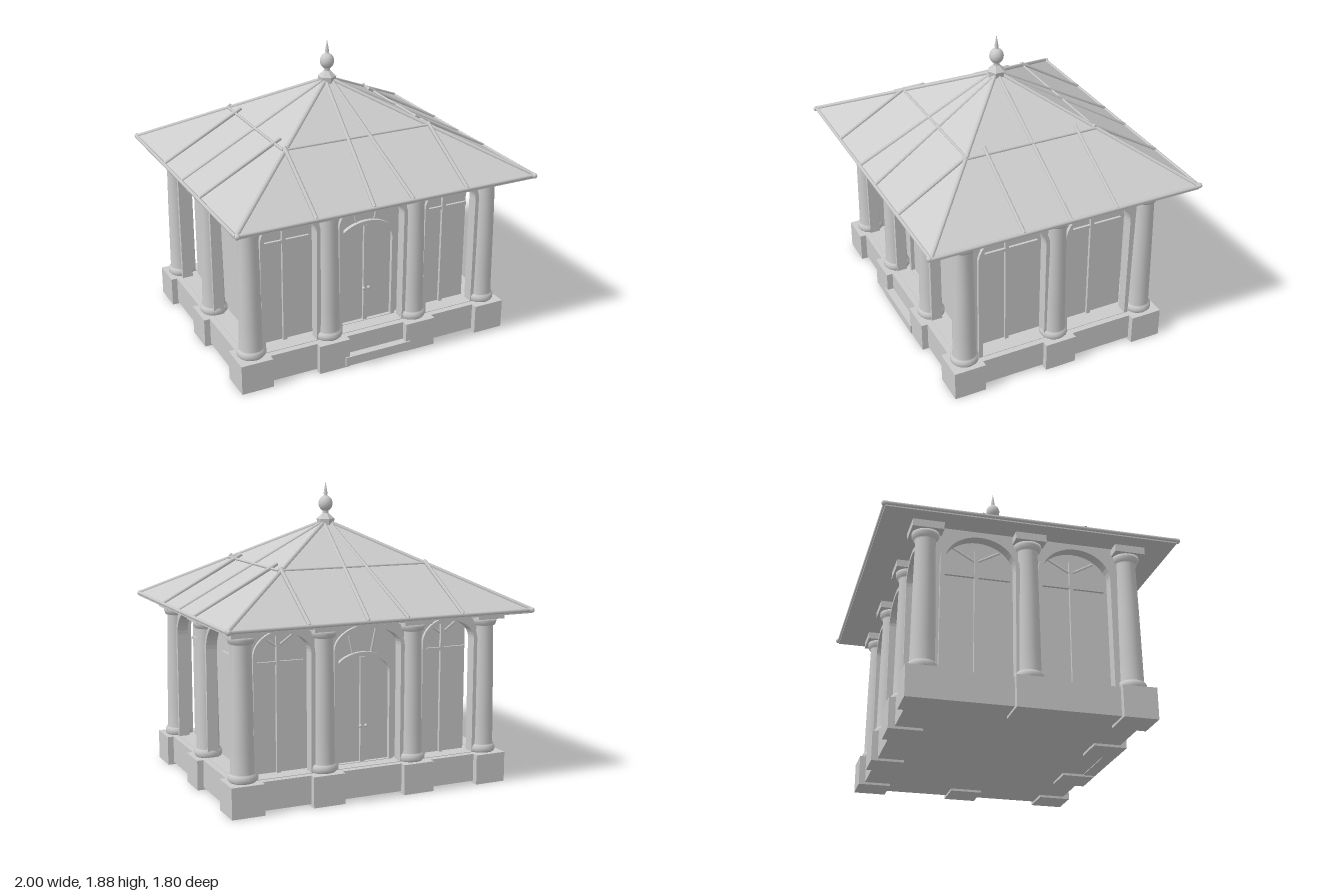
import * as THREE from 'three';

const grey = new THREE.MeshStandardMaterial({ color: 0xcccccc });
const flat = new THREE.MeshStandardMaterial({ color: 0xcccccc, flatShading: true });

const CX = 0.812, CZ = 0.61;      // column lines
const RECESS = 0.085;             // glazing depth behind the column lines
const RX = 0.99, RZ = 0.877;      // roof half sizes
const EAVE = 1.12, APEX = 1.64;

function add(parent, name, geo, x = 0, y = 0, z = 0, mat = grey) {
  const m = new THREE.Mesh(geo, mat);
  m.name = name;
  m.position.set(x, y, z);
  parent.add(m);
  return m;
}

function box(parent, name, w, h, d, x, y, z) {
  return add(parent, name, new THREE.BoxGeometry(w, h, d), x, y, z);
}

function lathe(points, sides) {
  return new THREE.LatheGeometry(points.map(p => new THREE.Vector2(...p)), sides);
}

// Round bar between two points
function bar(parent, name, a, b, r = 0.01) {
  const p = new THREE.Vector3(...a), q = new THREE.Vector3(...b);
  const dir = q.clone().sub(p);
  const m = add(parent, name, new THREE.CylinderGeometry(r, r, dir.length(), 6));
  m.position.copy(p).add(q).multiplyScalar(0.5);
  m.quaternion.setFromUnitVectors(new THREE.Vector3(0, 1, 0), dir.normalize());
}

// Arched opening outline: straight jambs with an elliptical head
function archPath(Type, hw, bottom, spring, rise) {
  const s = new Type();
  s.moveTo(-hw, bottom);
  s.lineTo(hw, bottom);
  s.lineTo(hw, spring);
  s.absellipse(0, spring, hw, rise, 0, Math.PI, false);
  s.lineTo(-hw, bottom);
  return s;
}

function archFrame(hw, bottom, spring, rise, t, depth) {
  const s = archPath(THREE.Shape, hw, bottom, spring, rise);
  s.holes.push(archPath(THREE.Path, hw - t, bottom + 0.008, spring, rise - t));
  return new THREE.ExtrudeGeometry(s, { depth, bevelEnabled: false, curveSegments: 10 });
}

// One arched wall bay facing +z, with its wall plane at z = 0
function bay(width, hw, spring, rise, door) {
  const g = new THREE.Group();
  g.name = door ? 'doorBay' : 'windowBay';
  const wall = new THREE.Shape();
  wall.moveTo(-width / 2, 0.18);
  wall.lineTo(width / 2, 0.18);
  wall.lineTo(width / 2, 1.12);
  wall.lineTo(-width / 2, 1.12);
  wall.closePath();
  wall.holes.push(archPath(THREE.Path, hw - 0.01, 0.185, spring, rise - 0.01));
  add(g, 'spandrelWall', new THREE.ExtrudeGeometry(wall, { depth: 0.05, bevelEnabled: false, curveSegments: 10 }), 0, 0, -0.04);
  add(g, 'archMoulding', archFrame(hw, 0.185, spring, rise, 0.025, 0.07), 0, 0, -0.04);

  // Glazing bars and doors lie on the recessed glass
  const z = -RECESS;
  const top = spring + rise - 0.02;
  if (door) {
    add(g, 'doorFrame', archFrame(0.205, 0.185, 0.74, 0.14, 0.025, 0.025), 0, 0, z);
    box(g, 'doorMeeting', 0.03, 0.66, 0.02, 0, 0.52, z + 0.008);
    for (const s of [-1, 1]) {
      add(g, 'doorKnob', new THREE.SphereGeometry(0.011, 10, 8), s * 0.018, 0.42, z + 0.025);
      bar(g, 'fanBar', [s * 0.06, 0.86, z], [s * 0.1, top, z], 0.008);
    }
  } else {
    box(g, 'transom', hw * 2 - 0.06, 0.02, 0.02, 0, 0.855, z + 0.006);
    box(g, 'mullion', 0.024, 0.85, 0.022, 0, 0.6, z + 0.008);
    for (const s of [-1, 1])
      bar(g, 'fanBar', [0, 0.95, z], [s * hw * 0.6, spring + rise * 0.75, z], 0.008);
  }
  return g;
}

// Tapered column on a square block
function column(x, z) {
  const g = new THREE.Group();
  g.name = 'column';
  g.position.set(x, 0, z);
  box(g, 'columnBlock', 0.205, 0.19, 0.205, Math.sign(x) * 0.005, 0.095, Math.sign(z) * 0.008);
  const profile = [[0, 0.19], [0.078, 0.19], [0.087, 0.2], [0.088, 0.222], [0.08, 0.238], [0.072, 0.243],
    [0.07, 0.4], [0.066, 0.7], [0.06, 1.0], [0.072, 1.005], [0.081, 1.03], [0.081, 1.05], [0, 1.05]];
  add(g, 'shaft', lathe(profile, 20));
  box(g, 'abacus', 0.185, 0.045, 0.185, 0, 1.07, 0);
  box(g, 'abacusTop', 0.13, 0.03, 0.13, 0, 1.1, 0);
  return g;
}

function roof() {
  const g = new THREE.Group();
  g.name = 'roof';
  const cone = new THREE.ConeGeometry(Math.SQRT2, APEX - EAVE, 4, 1);
  cone.rotateY(Math.PI / 4);
  cone.scale(RX, 1, RZ);
  add(g, 'roofPanels', cone, 0, (APEX + EAVE) / 2, 0, flat);
  box(g, 'eaveSlab', RX * 2, 0.02, RZ * 2, 0, EAVE - 0.01, 0);

  const apex = [0, APEX, 0];
  const ringX = 0.5, ringZ = 0.43, ringY = APEX - (APEX - EAVE) * 0.5 + 0.005;
  for (const s of [-1, 1]) {
    bar(g, 'eaveRail', [-RX, EAVE, s * RZ], [RX, EAVE, s * RZ], 0.012);
    bar(g, 'eaveRail', [s * RX, EAVE, -RZ], [s * RX, EAVE, RZ], 0.012);
    bar(g, 'ringBar', [-ringX, ringY, s * ringZ], [ringX, ringY, s * ringZ], 0.009);
    bar(g, 'ringBar', [s * ringX, ringY, -ringZ], [s * ringX, ringY, ringZ], 0.009);
    bar(g, 'sideRafter', [s * RX, EAVE, 0], apex, 0.012);
    for (const t of [-1, 1]) {
      bar(g, 'hipBar', [s * RX, EAVE, t * RZ], apex, 0.013);
      add(g, 'cornerKnob', new THREE.SphereGeometry(0.017, 8, 6), s * (RX - 0.007), EAVE, t * (RZ + 0.006));
      bar(g, 'centreRafter', [s * 0.13, EAVE + 0.005, t * RZ], [s * 0.02, APEX - 0.015, t * 0.02], 0.012);
      bar(g, 'endRafter', [s * 0.5, EAVE + 0.005, t * RZ], [s * 0.488, ringY + 0.015, t * 0.42], 0.012);
      bar(g, 'shortSideRafter', [s * RX, EAVE + 0.005, t * 0.305], [s * 0.46, ringY + 0.028, t * 0.305], 0.012);
    }
  }
  // Hexagonal cap, ball and spike
  add(g, 'finialCap', new THREE.CylinderGeometry(0.058, 0.05, 0.045, 6), 0, 1.628, 0, flat);
  add(g, 'finialCapTop', new THREE.CylinderGeometry(0.018, 0.058, 0.038, 6), 0, 1.669, 0, flat);
  bar(g, 'finialNeck', [0, 1.67, 0], [0, 1.72, 0], 0.02);
  const ball = new THREE.SphereGeometry(0.045, 16, 12);
  ball.scale(1, 1.12, 1);
  add(g, 'finialBall', ball, 0, 1.747, 0);
  add(g, 'finialSpike', lathe([[0.016, 1.79], [0.01, 1.8], [0.013, 1.81], [0, 1.885]], 10));
  return g;
}

export function createModel() {
  const model = new THREE.Group();
  model.name = 'gardenPavilion';

  // Plinth, front step and recessed glass
  box(model, 'plinth', 1.76, 0.175, 1.36, 0, 0.1025, 0);
  box(model, 'frontStep', 0.46, 0.06, 0.08, 0, 0.04, 0.69);
  box(model, 'glass', (CX - RECESS) * 2, 0.93, (CZ - RECESS) * 2, 0, 0.65, 0);

  // Columns: four along the front and back, one in the middle of each end
  for (const z of [-CZ, CZ]) for (const x of [-CX, -0.297, 0.297, CX]) model.add(column(x, z));
  for (const x of [-CX, CX]) model.add(column(x, 0));

  // Front and back walls
  for (const turn of [0, Math.PI]) {
    const side = new THREE.Group();
    side.name = turn ? 'backWall' : 'frontWall';
    side.rotation.y = turn;
    for (const x of [-0.555, 0, 0.555]) {
      const b = x ? bay(0.515, 0.195, 0.92, 0.15, false) : bay(0.595, 0.235, 0.92, 0.145, true);
      b.position.set(x, 0, CZ);
      side.add(b);
    }
    model.add(side);
  }

  // End walls
  for (const s of [-1, 1]) {
    const side = new THREE.Group();
    side.name = s > 0 ? 'leftWall' : 'rightWall';
    side.rotation.y = s * Math.PI / 2;
    for (const x of [-0.29, 0.29]) {
      const b = bay(0.58, 0.235, 0.88, 0.2, false);
      b.position.set(x, 0, CX);
      side.add(b);
    }
    model.add(side);
  }

  model.add(roof());
  return model;
}
